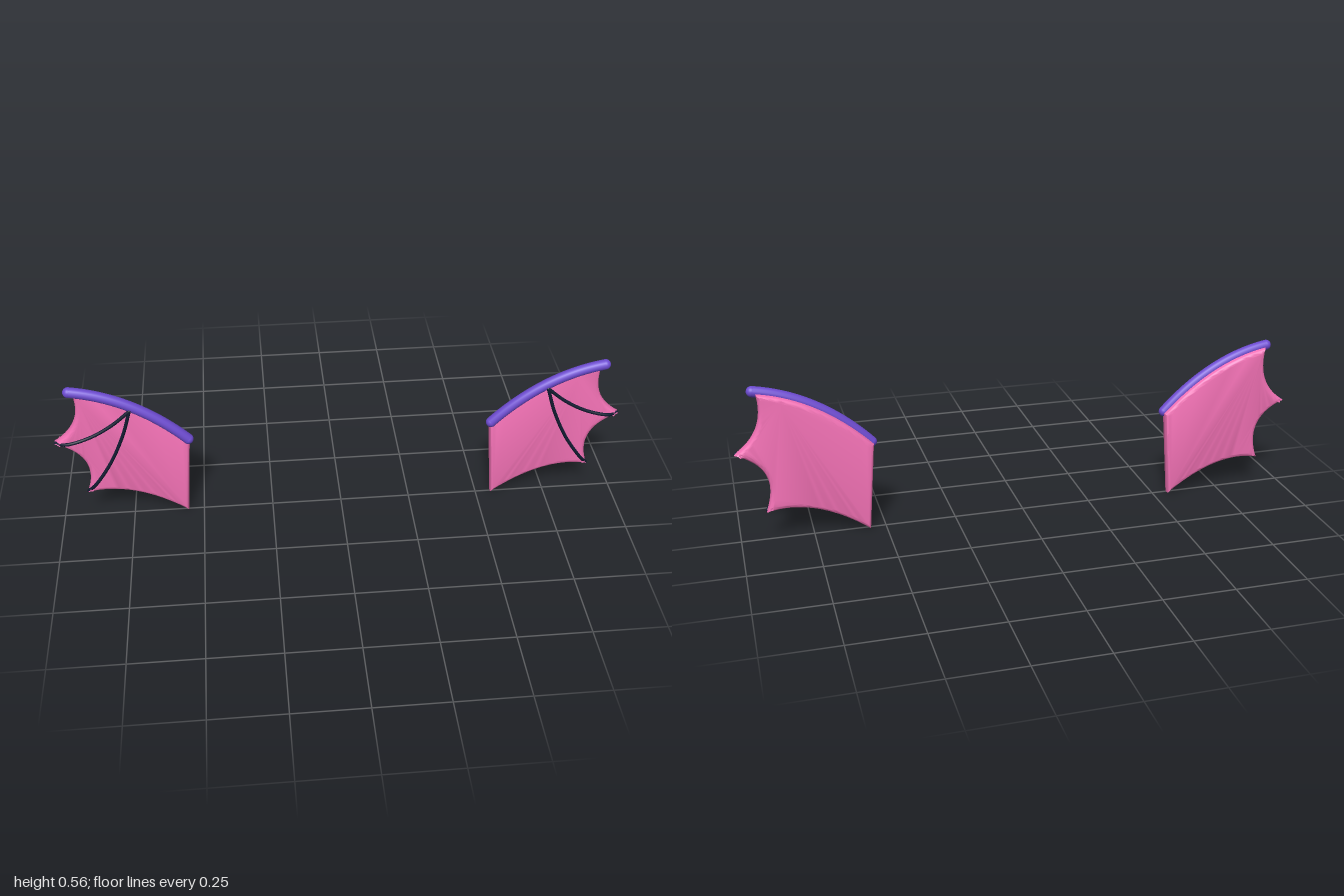
import * as THREE from 'three';
import { toCreasedNormals } from 'three/addons/utils/BufferGeometryUtils.js';

const PINK = 0xf472b6, PURPLE = 0x6d4bd0, NAVY = 0x111a30;

function part(name, geometry, color) {
  const mesh = new THREE.Mesh(geometry, new THREE.MeshStandardMaterial({ color }));
  mesh.name = name;
  return mesh;
}

// Round rod along a curve, closed by a ball at each end
function rod(name, curve, radius, color) {
  const group = new THREE.Group();
  group.name = name;
  group.add(part(name + 'Shaft', new THREE.TubeGeometry(curve, 40, radius, 16), color));
  for (const t of [0, 1]) {
    const ball = part(name + 'End', new THREE.SphereGeometry(radius, 20, 14), color);
    ball.position.copy(curve.getPoint(t));
    group.add(ball);
  }
  return group;
}

// side is +1 for the left wing, -1 for the right
function createWing(side) {
  const wing = new THREE.Group();
  wing.name = side > 0 ? 'leftWing' : 'rightWing';
  const v = (x, y, z) => new THREE.Vector3(side * x, y, z);

  // Scalloped membrane with a rounded rim
  const outline = new THREE.Shape();
  const bend = (cx, cy, x, y) => outline.quadraticCurveTo(side * cx, cy, side * x, y);
  outline.moveTo(side * 0.555, 0);
  outline.lineTo(side * 0.53, 0.318);
  bend(0.711, 0.504, 0.912, 0.536);
  bend(0.885, 0.4, 0.997, 0.327);
  bend(0.845, 0.27, 0.906, 0.107);
  bend(0.745, 0.147, 0.555, 0);
  const bevel = 0.016;
  const membrane = new THREE.ExtrudeGeometry(outline, {
    depth: 0.011, curveSegments: 24, bevelEnabled: true,
    bevelThickness: bevel, bevelSize: bevel, bevelOffset: -bevel, bevelSegments: 6,
  });
  membrane.translate(0, 0, -0.011);
  wing.add(part('membrane', toCreasedNormals(membrane, 0.6), PINK));

  // Thick bone along the leading edge
  const bone = new THREE.QuadraticBezierCurve3(
    v(0.535, 0.32, 0.008), v(0.711, 0.506, 0.008), v(0.922, 0.54, 0.008));
  wing.add(rod('armBone', bone, 0.0185, PURPLE));

  // Thin fingers, each dipping back into the membrane at its tip
  const fingers = [
    [v(0.725, 0.46, 0.023), v(0.79, 0.405, 0.023), v(0.87, 0.358, 0.023),
      v(0.955, 0.332, 0.021), v(0.992, 0.327, 0)],
    [v(0.725, 0.46, 0.023), v(0.757, 0.36, 0.023), v(0.81, 0.245, 0.023),
      v(0.873, 0.15, 0.022), v(0.903, 0.11, 0)],
  ];
  fingers.forEach((points, i) =>
    wing.add(rod('finger' + (i + 1), new THREE.CatmullRomCurve3(points), 0.006, NAVY)));
  return wing;
}

export function createModel() {
  const model = new THREE.Group();
  model.name = 'wings';
  for (const side of [1, -1]) model.add(createWing(side));
  return model;
}
